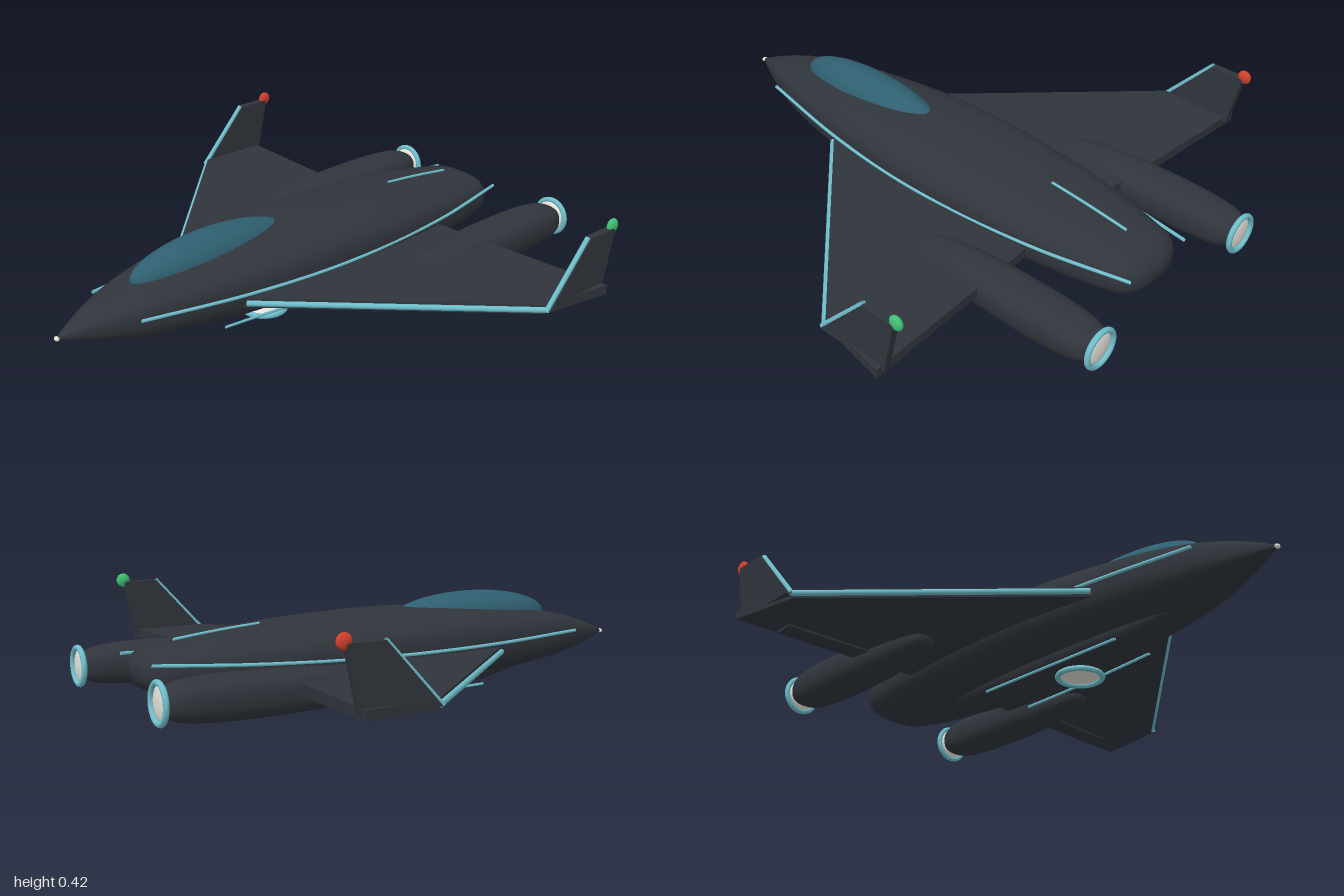
import * as THREE from 'three';

const mat = (name, color, side = THREE.FrontSide) => {
  const m = new THREE.MeshStandardMaterial({ color, side });
  m.name = name;
  return m;
};

// Closed loft along z; stations run front to back as [z, halfWidth, yTop, yBottom]
function loft(stations, power, sides = 40, steps = 60) {
  const widths = new THREE.CatmullRomCurve3(stations.map(s => new THREE.Vector3(s[1], 0, s[0])));
  const heights = new THREE.CatmullRomCurve3(stations.map(s => new THREE.Vector3(s[2], s[3], s[0])));
  const pos = [], idx = [];
  const bend = v => Math.sign(v) * Math.pow(Math.abs(v), 2 / power);
  for (let i = 0; i <= steps; i++) {
    const w = widths.getPoint(i / steps), h = heights.getPoint(i / steps);
    const mid = (h.x + h.y) / 2, half = Math.max((h.x - h.y) / 2, 0.0005);
    for (let j = 0; j < sides; j++) {
      const a = (j / sides) * Math.PI * 2;
      pos.push(Math.max(w.x, 0.0005) * bend(Math.cos(a)), mid + half * bend(Math.sin(a)), w.z);
      if (i < steps) {
        const p = i * sides + j, q = i * sides + (j + 1) % sides;
        idx.push(p, p + sides, q, q, p + sides, q + sides);
      }
    }
  }
  const g = new THREE.BufferGeometry();
  g.setAttribute('position', new THREE.Float32BufferAttribute(pos, 3));
  g.setIndex(idx);
  g.computeVertexNormals();
  return g;
}

const outline = pts => new THREE.Shape(pts.map(p => new THREE.Vector2(p[0], p[1])));

function tube(pts, radius) {
  const curve = new THREE.CatmullRomCurve3(pts.map(p => new THREE.Vector3(...p)));
  return new THREE.TubeGeometry(curve, pts.length > 2 ? 40 : 1, radius, 8);
}

export function createModel() {
  const model = new THREE.Group();
  model.name = 'jet';
  const hull = mat('hull', 0x30353c);
  const glass = mat('canopyGlass', 0x2f5f70);
  const trim = mat('trim', 0x6fbfcc, THREE.DoubleSide);
  const glow = mat('engineGlow', 0xe6e2da);
  const red = mat('redLamp', 0xd0402c);
  const green = mat('greenLamp', 0x3fbf72);

  const add = (name, geometry, material, x = 0, y = 0, z = 0) => {
    const m = new THREE.Mesh(geometry, material);
    m.name = name;
    m.position.set(x, y, z);
    model.add(m);
    return m;
  };
  const ellipsoid = (rx, ry, rz) => new THREE.SphereGeometry(1, 32, 20).scale(rx, ry, rz);

  // Fuselage, canopy and belly pod
  add('fuselage', loft([
    [0.995, 0, 0.192, 0.188], [0.95, 0.026, 0.213, 0.175], [0.88, 0.06, 0.242, 0.155],
    [0.76, 0.11, 0.277, 0.128], [0.6, 0.155, 0.307, 0.105], [0.4, 0.192, 0.327, 0.09],
    [0.2, 0.22, 0.339, 0.083], [0, 0.233, 0.344, 0.08], [-0.3, 0.228, 0.334, 0.083],
    [-0.6, 0.2, 0.31, 0.095], [-0.8, 0.163, 0.284, 0.11], [-0.88, 0.138, 0.268, 0.125],
    [-0.92, 0.085, 0.235, 0.155], [-0.935, 0, 0.2, 0.195],
  ], 2.6, 48, 90), hull);
  add('canopy', ellipsoid(0.09, 0.095, 0.335), glass, 0, 0.29, 0.367);
  add('bellyPod', loft([
    [0.62, 0, 0.125, 0.115], [0.56, 0.035, 0.14, 0.09], [0.4, 0.07, 0.15, 0.052],
    [0.15, 0.09, 0.15, 0.035], [-0.1, 0.09, 0.15, 0.032], [-0.3, 0.075, 0.15, 0.048],
    [-0.5, 0.035, 0.14, 0.08], [-0.56, 0, 0.125, 0.11],
  ], 2.5), hull);
  add('noseTip', ellipsoid(0.011, 0.008, 0.008), glow, 0, 0.19, 0.991);
  add('spineTrim', tube([[0, 0.323, -0.48], [0, 0.31, -0.63], [0, 0.291, -0.79]], 0.005), trim);

  // Round lift vent under the belly
  add('liftRing', new THREE.TorusGeometry(0.077, 0.01, 10, 40).rotateX(Math.PI / 2), trim, 0, 0.0115, 0.135);
  add('liftGlow', ellipsoid(0.07, 0.012, 0.07), glow, 0, 0.016, 0.135);

  for (const s of [1, -1]) {
    const side = s > 0 ? 'left' : 'right';
    const label = part => side + part;

    // Wing plate and elevon
    const wing = outline([[0.1, 0.47], [0.205, 0.37], [0.885, -0.32], [0.932, -0.59], [0.1, -0.54]]
      .map(([x, z]) => [s * x, z]));
    add(label('Wing'), new THREE.ExtrudeGeometry(wing, { depth: 0.034, bevelEnabled: false })
      .rotateX(Math.PI / 2), hull, 0, 0.2, 0);
    const elevon = add(label('Elevon'), new THREE.BoxGeometry(0.34, 0.014, 0.08), hull, s * 0.61, 0.165, -0.522);
    elevon.rotation.y = s * 0.06;
    add(label('WingTrim'), tube([[s * 0.2, 0.183, 0.38], [s * 0.89, 0.183, -0.32]], 0.0105), trim);

    // Winglet with its lamp
    const fin = outline([[-0.32, 0.18], [-0.51, 0.388], [-0.64, 0.388], [-0.595, 0.18]]);
    add(label('Winglet'), new THREE.ExtrudeGeometry(fin, { depth: 0.026, bevelEnabled: false })
      .rotateY(-Math.PI / 2), hull, s * 0.895 + 0.013, 0, 0);
    add(label('WingletTrim'), tube([[s * 0.895, 0.18, -0.315], [s * 0.895, 0.388, -0.508]], 0.009), trim);
    add(label('Lamp'), ellipsoid(0.014, 0.026, 0.026), s > 0 ? green : red, s * 0.895, 0.393, -0.64);

    // Engine nacelle, exhaust ring and glow
    add(label('Nacelle'), loft([
      [-0.23, 0, 0.166, 0.16], [-0.24, 0.032, 0.187, 0.137], [-0.28, 0.052, 0.205, 0.12],
      [-0.42, 0.073, 0.227, 0.099], [-0.65, 0.085, 0.236, 0.09], [-0.85, 0.081, 0.234, 0.092],
      [-0.94, 0.07, 0.222, 0.104], [-0.975, 0.05, 0.205, 0.121], [-0.98, 0, 0.166, 0.16],
    ], 2.5), hull, s * 0.38, 0, 0);
    add(label('ExhaustRing'), new THREE.TorusGeometry(0.064, 0.01, 10, 40), trim, s * 0.38, 0.163, -0.99);
    add(label('ExhaustGlow'), ellipsoid(0.058, 0.058, 0.014), glow, s * 0.38, 0.163, -0.982);

    // Thin trim lines on the flank and the belly pod
    add(label('FlankTrim'), tube([
      [s * 0.138, 0.225, 0.76], [s * 0.205, 0.214, 0.36], [s * 0.233, 0.21, 0], [s * 0.226, 0.212, -0.3],
      [s * 0.2, 0.22, -0.6], [s * 0.145, 0.235, -0.92],
    ], 0.006), trim);
    add(label('BellyTrim'), tube([
      [s * 0.085, 0.048, 0.38], [s * 0.097, 0.04, 0.1], [s * 0.104, 0.035, -0.23],
    ], 0.005), trim);
  }
  return model;
}
